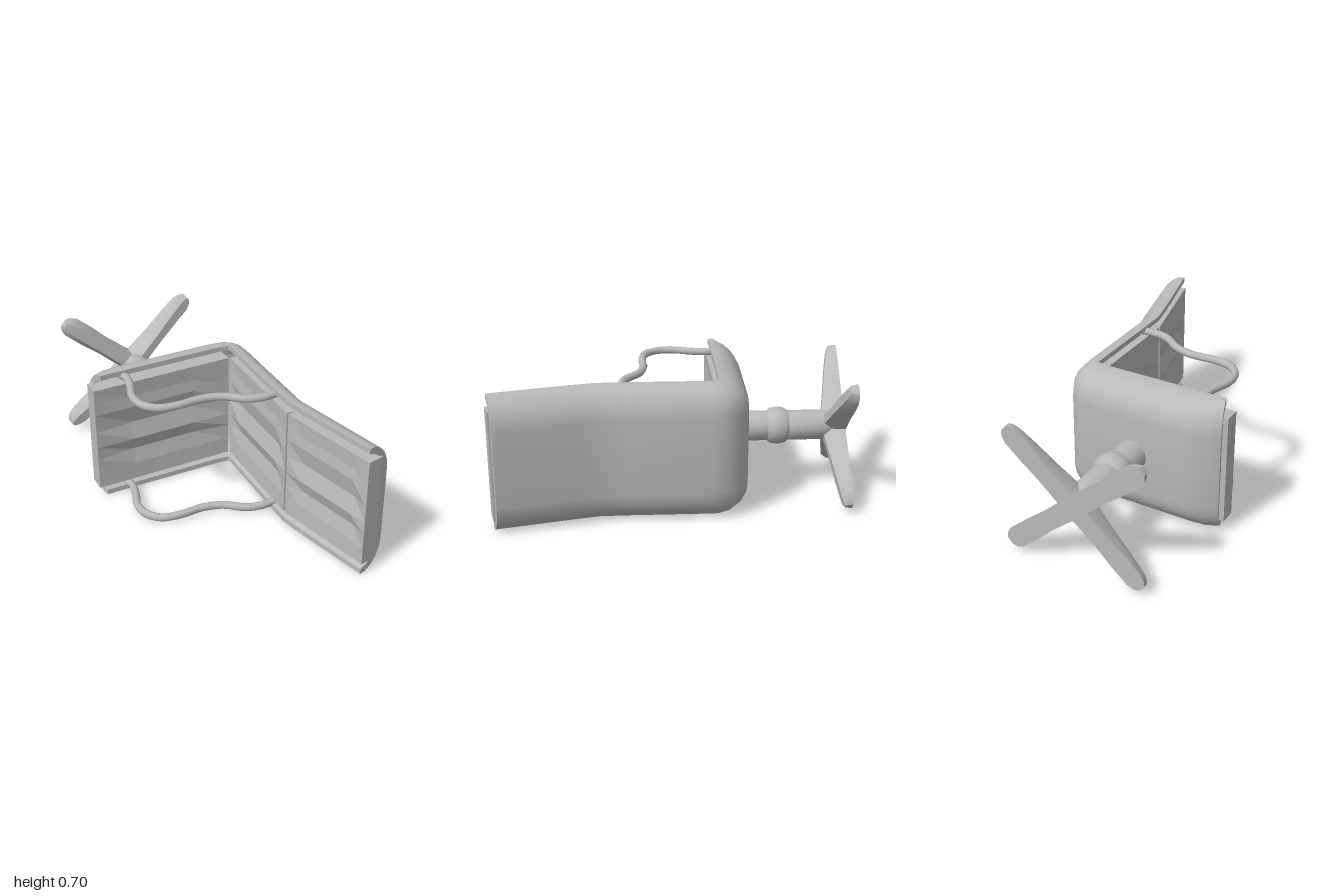
import * as THREE from 'three';
import { toCreasedNormals } from 'three/addons/utils/BufferGeometryUtils.js';

const grey = new THREE.MeshStandardMaterial({ color: 0xbababa });
grey.name = 'plain grey';

function mesh(name, geometry, parent) {
  const m = new THREE.Mesh(geometry, grey);
  m.name = name;
  parent.add(m);
  return m;
}

// Skin closed rings of points and cap both ends; contour is the flat shape of the caps
function loft(rings, contour, crease = 0.6) {
  const n = contour.length, pos = [];
  const put = (...pts) => pts.forEach((p) => pos.push(p.x, p.y, p.z));
  for (let i = 0; i < rings.length - 1; i++) {
    for (let j = 0; j < n; j++) {
      const k = (j + 1) % n, r = rings[i], s = rings[i + 1];
      put(r[j], r[k], s[j], r[k], s[k], s[j]);
    }
  }
  const ccw = THREE.ShapeUtils.area(contour) > 0;
  const first = rings[0], last = rings[rings.length - 1];
  for (let [a, b, c] of THREE.ShapeUtils.triangulateShape(contour, [])) {
    if ((THREE.ShapeUtils.area([contour[a], contour[b], contour[c]]) > 0) !== ccw) [b, c] = [c, b];
    put(first[a], first[c], first[b], last[a], last[b], last[c]);
  }
  // Turn every face outwards
  let volume = 0;
  const v = (i) => new THREE.Vector3().fromArray(pos, i);
  for (let i = 0; i < pos.length; i += 9) volume += v(i).dot(v(i + 3).cross(v(i + 6)));
  if (volume < 0) {
    for (let i = 0; i < pos.length; i += 9) {
      for (let q = 3; q < 6; q++) [pos[i + q], pos[i + q + 3]] = [pos[i + q + 3], pos[i + q]];
    }
  }
  const g = new THREE.BufferGeometry();
  g.setAttribute('position', new THREE.Float32BufferAttribute(pos, 3));
  return toCreasedNormals(g, crease);
}

const MID = 0.357;
const v2 = ([x, y]) => new THREE.Vector2(x, y);

// Trough-shaped shell: outer and inner edge of its side at each station (x, z)
function addShell(parent) {
  const stations = [
    [-0.49, 0.455, -0.385, 0.47], [-0.505, 0.37, -0.37, 0.43], [-0.48, 0.28, -0.338, 0.36],
    [-0.28, -0.16, -0.13, -0.11], [-0.235, -0.24, -0.107, -0.15], [-0.17, -0.283, -0.1, -0.16],
    [-0.09, -0.292, -0.088, -0.163], [-0.02, -0.27, -0.06, -0.15], [0.36, -0.1, 0.3, 0.015],
    [0.49, -0.042, 0.45, 0.08], [0.58, -0.03, 0.56, 0.105], [0.995, 0.055, 0.975, 0.18],
  ];
  // Half section: depth from outer (0) to inner (1), height from the middle
  const outer = [[1, 0.352], [0.75, 0.352], [0.45, 0.33], [0.2, 0.295], [0.04, 0.245], [0, 0.2]];
  const inner = [[0.3, 0.2], [0.33, 0.245], [0.48, 0.29], [0.78, 0.315], [1, 0.325]];
  const flip = (pts) => pts.map(([d, y]) => [d, -y]).reverse();
  const section = [...outer, ...flip(outer), ...flip(inner), ...inner].map(v2);
  // flip(inner) runs from the lower lip to the lower floor, inner from floor to upper lip
  const rings = stations.map(([ox, oz, ix, iz]) => section.map((p) =>
    new THREE.Vector3(ox + (ix - ox) * p.x, MID + p.y, oz + (iz - oz) * p.x)));
  mesh('shell', loft(rings, section), parent);
}

// Quilted pad between two (x, z) points, with grooves that fade out at both ends
function addPad(name, [ax, az], [bx, bz], fade, parent) {
  const rows = [[0.07, 0], [0.16, 0.006], [0.24, 0.022], [0.31, 0], [0.4, 0.022], [0.5, 0], [0.56, 0.006], [0.642, 0]];
  const len = Math.hypot(bx - ax, bz - az);
  const nx = (bz - az) / len, nz = -(bx - ax) / len; // towards the shell
  const back = 0.085;
  const section = [...rows.map(([y]) => [0, y]), [back, 0.642], [back, 0.07]].map(v2);
  const rings = [[0, 0], [fade, 1], [1 - fade, 1], [1, 0]].map(([u, k]) => section.map((p, j) => {
    const d = j < rows.length ? rows[j][1] * k : back;
    return new THREE.Vector3(ax + (bx - ax) * u + nx * d, p.y, az + (bz - az) * u + nz * d);
  }));
  mesh(name, loft(rings, section, 0.1), parent);
}

// Wavy armrest tubes on both sides
function addArmrests(parent) {
  const path = [[-0.37, 0.355], [-0.32, 0.36], [-0.25, 0.405], [-0.17, 0.475], [-0.09, 0.5], [-0.01, 0.475],
    [0.045, 0.4], [0.095, 0.28], [0.16, 0.2], [0.26, 0.145], [0.31, 0.085], [0.34, 0.01]];
  for (const [name, y] of [['upperArmrest', 0.677], ['lowerArmrest', 0.038]]) {
    const curve = new THREE.CatmullRomCurve3(path.map(([x, z]) => new THREE.Vector3(x, y, z)));
    mesh(name, new THREE.TubeGeometry(curve, 40, 0.02, 8), parent);
  }
}

// Column and four-armed foot, built along local y and turned to stand off the seat
function addPedestal(parent) {
  const base = new THREE.Group();
  base.name = 'pedestal';
  const axis = new THREE.Vector3(-0.91, 0, -0.41).normalize();
  const side = new THREE.Vector3(axis.z, 0, -axis.x);
  base.quaternion.setFromRotationMatrix(new THREE.Matrix4().makeBasis(side, axis, side.clone().cross(axis)));
  base.position.set(-0.36, MID, 0.03);
  parent.add(base);

  const profile = [[0.078, -0.04], [0.078, 0.125], [0.092, 0.14], [0.098, 0.18], [0.092, 0.215],
    [0.078, 0.235], [0.078, 0.42], [0.06, 0.47], [0, 0.5]].map(v2);
  mesh('column', toCreasedNormals(new THREE.LatheGeometry(profile, 16), 0.6), base);

  // Distance from hub, half width, height
  const steps = [[0, 0.055, 0.12], [0.08, 0.05, 0.11], [0.2, 0.048, 0.09], [0.32, 0.055, 0.072],
    [0.42, 0.055, 0.055], [0.455, 0.042, 0.048], [0.475, 0.02, 0.04]];
  const outline = [[-1, 0], [1, 0], [0.9, 0.5], [0.45, 1], [-0.45, 1], [-0.9, 0.5]].map(v2);
  const rings = steps.map(([r, w, h]) => outline.map((p) => new THREE.Vector3(r, 0.53 - p.y * h, p.x * w)));
  const arm = loft(rings, outline);
  const angle = 0.715;
  [angle, Math.PI - angle, Math.PI + angle, -angle].forEach((a, i) => {
    mesh('footArm' + (i + 1), arm, base).rotation.y = a;
  });
}

export function createModel() {
  const model = new THREE.Group();
  model.name = 'recliningChair';
  addShell(model);
  addPad('seatPad', [-0.39, 0.518], [-0.095, -0.155], 0.27, model);
  addPad('lowerBackPad', [-0.088, -0.16], [0.452, 0.083], 0.18, model);
  addPad('upperBackPad', [0.464, 0.087], [0.982, 0.187], 0.18, model);
  addArmrests(model);
  addPedestal(model);
  return model;
}
